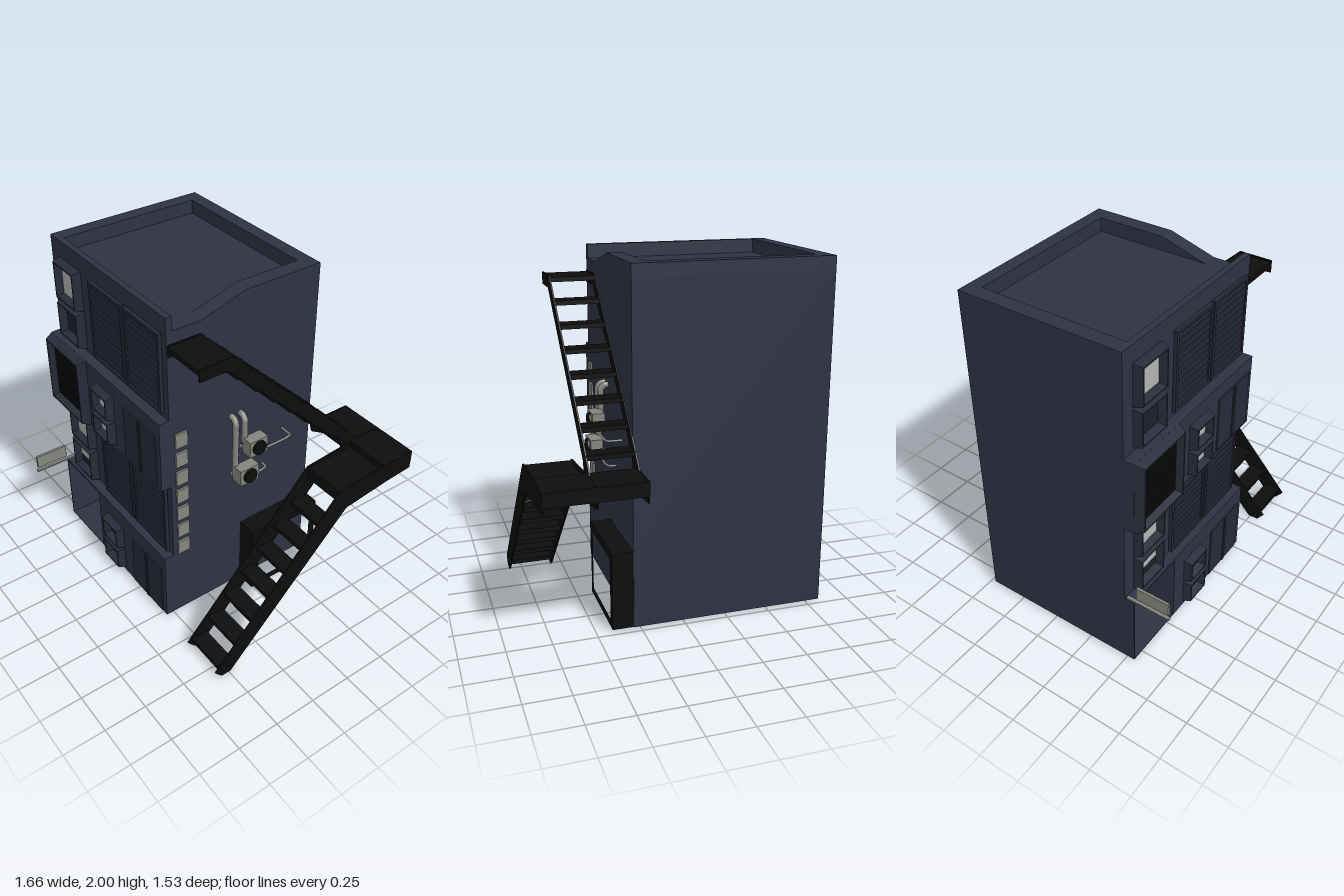
import * as THREE from 'three';

const mat = (color) => new THREE.MeshStandardMaterial({ color });
const wall = mat(0x2e3244), trim = mat(0x272b39), dark = mat(0x1d2029), black = mat(0x0d0d0d);
const pale = mat(0xb4b4b4), metal = mat(0x85857f);

export function createModel() {
  const model = new THREE.Group();

  const add = (name, geometry, material) => {
    const mesh = new THREE.Mesh(geometry, material);
    mesh.name = name;
    model.add(mesh);
    return mesh;
  };

  // Box given by its limits on each axis
  const box = (name, x0, x1, y0, y1, z0, z1, material) => {
    const g = new THREE.BoxGeometry(x1 - x0, y1 - y0, z1 - z0);
    g.translate((x0 + x1) / 2, (y0 + y1) / 2, (z0 + z1) / 2);
    return add(name, g, material);
  };

  // Side profile of [z, y] points, extruded from x0 to x1
  const sidePlate = (name, points, x0, x1, material, hole) => {
    const toVec = ([z, y]) => new THREE.Vector2(-z, y);
    const shape = new THREE.Shape(points.map(toVec));
    if (hole) shape.holes.push(new THREE.Path(hole.map(toVec)));
    const g = new THREE.ExtrudeGeometry(shape, { depth: x1 - x0, bevelEnabled: false });
    g.rotateY(Math.PI / 2).translate(x0, 0, 0);
    return add(name, g, material);
  };

  // Tapered rectangular frame facing +z, lofted through [inset, z] rings
  const frame = (name, x0, x1, y0, y1, rings, material) => {
    const corners = ([i, z]) => [[x0 + i, y0 + i, z], [x1 - i, y0 + i, z], [x1 - i, y1 - i, z], [x0 + i, y1 - i, z]];
    const pos = [];
    for (let r = 0; r < rings.length - 1; r++) {
      const a = corners(rings[r]), b = corners(rings[r + 1]);
      for (let k = 0; k < 4; k++) {
        const n = (k + 1) % 4;
        pos.push(...a[k], ...a[n], ...b[n], ...a[k], ...b[n], ...b[k]);
      }
    }
    const g = new THREE.BufferGeometry();
    g.setAttribute('position', new THREE.Float32BufferAttribute(pos, 3));
    g.computeVertexNormals();
    return add(name, g, material);
  };

  const tube = (name, points, radius, material) => {
    const curve = new THREE.CatmullRomCurve3(points.map((p) => new THREE.Vector3(...p)), false, 'catmullrom', 0.2);
    add(name, new THREE.TubeGeometry(curve, 24, radius, 10), material);
  };

  // Main block, with an open porch at the front corner of the ground floor
  box('upperBlock', -0.83, 0.29, 0.46, 1.92, -0.47, 0.49, wall);
  box('groundBlock', -0.44, 0.29, 0.01, 0.46, -0.47, 0.55, wall);
  box('porchBack', -0.83, -0.44, 0.01, 0.46, -0.47, -0.1, wall);
  box('porchSideWall', -0.83, -0.822, 0.01, 0.46, -0.1, 0.55, wall);
  box('porchFloor', -0.822, -0.44, 0.01, 0.016, -0.1, 0.55, wall);
  box('porchCeiling', -0.83, 0.29, 0.45, 0.465, 0.45, 0.55, wall);
  box('thirdFloorBay', -0.83, 0.29, 0.965, 1.405, 0.49, 0.55, wall);

  // Parapet, sloping down beside the stair exit
  box('parapetLeft', -0.83, -0.745, 1.92, 2, -0.47, 0.49, wall);
  box('parapetBack', -0.745, 0.2, 1.92, 2, -0.47, -0.39, wall);
  box('parapetFront', -0.745, 0.29, 1.92, 2, 0.455, 0.49, wall);
  sidePlate('parapetRight', [[-0.47, 1.92], [0.28, 1.92], [0.01, 2], [-0.47, 2]], 0.2, 0.29, wall);

  // Windows: tapered frame around a pane
  const windowUnit = (x0, x1, y0, y1, z, inset, litFrom) => {
    frame('windowFrame', x0, x1, y0, y1, [[0, z], [0.012, z + 0.05], [inset * 0.6, z + 0.05], [inset, z + 0.006]], trim);
    box('windowPane', x0 + inset, x1 - inset, y0 + inset, y1 - inset, z, z + 0.006, dark);
    if (litFrom !== undefined)
      box('litPane', x0 + inset, x1 - inset, litFrom, y1 - inset, z, z + 0.01, pale);
  };
  windowUnit(-0.75, -0.52, 1.66, 1.9, 0.49, 0.033, 1.693);
  windowUnit(-0.75, -0.52, 1.425, 1.65, 0.49, 0.033);
  windowUnit(-0.75, -0.52, 0.71, 0.95, 0.49, 0.033, 0.743);
  windowUnit(-0.75, -0.52, 0.47, 0.695, 0.49, 0.033, 0.56);
  for (const [y, lit] of [[0.04, false], [1.0, true]])
    for (const k of [0, 1]) {
      const y0 = y + k * 0.165;
      windowUnit(-0.34, -0.16, y0, y0 + 0.155, 0.548, 0.035, lit ? y0 + 0.035 : undefined);
    }

  // Slatted shutters on the second and fourth floors
  for (const y0 of [0.475, 1.43])
    for (const x0 of [-0.415, -0.075]) {
      const x1 = x0 + 0.325, y1 = y0 + 0.47;
      box('shutterPanel', x0, x1, y0, y1, 0.488, 0.495, dark);
      frame('shutterFrame', x0, x1, y0, y1, [[0, 0.49], [0, 0.51], [0.018, 0.51], [0.018, 0.495]], trim);
      for (let i = 0; i < 11; i++) {
        const y = y0 + 0.027 + i * 0.039;
        box('shutterSlat', x0 + 0.02, x1 - 0.02, y, y + 0.026, 0.49, 0.505, trim);
      }
    }

  // Double doors with a central post
  for (const [y0, y1] of [[0.02, 0.365], [0.98, 1.32]]) {
    for (const x0 of [-0.055, 0.11]) box('doorLeaf', x0, x0 + 0.145, y0, y1, 0.54, 0.558, trim);
    box('doorPost', 0.088, 0.112, y0, y1, 0.54, 0.562, dark);
  }

  // Projecting grille on the third floor
  frame('grilleFrame', -0.83, -0.44, 0.965, 1.405, [[0, 0.548], [0.02, 0.602], [0.03, 0.602], [0.05, 0.555]], trim);
  box('grilleBack', -0.78, -0.49, 1.01, 1.36, 0.545, 0.556, black);
  for (let i = 0; i < 15; i++) {
    const y = 1.02 + i * 0.0225;
    box('grilleSlat', -0.78, -0.49, y, y + 0.011, 0.55, 0.57, black);
  }

  // Open frame around the side entrance
  sidePlate('sideEntranceFrame', [[0.015, 0.01], [0.015, 0.46], [-0.465, 0.46], [-0.465, 0.01]], 0.285, 0.41, black,
    [[-0.03, 0.055], [-0.03, 0.415], [-0.42, 0.415], [-0.42, 0.055]]);

  // Fire escape: upper flight
  const upperSide = [[0.485, 1.85], [0.29, 1.85], [-0.45, 1.13], [-0.6, 0.97], [-0.765, 0.97],
    [-0.765, 0.855], [-0.6, 0.84], [-0.5, 0.9], [-0.47, 1.01], [0.32, 1.78], [0.485, 1.78]];
  for (const x of [0.286, 0.546]) sidePlate('upperStringer', upperSide, x, x + 0.009, black);
  box('topPlatform', 0.29, 0.55, 1.815, 1.842, 0.28, 0.485, black);
  for (let i = 0; i < 7; i++) {
    const y = 1.715 - i * 0.113, z = 0.21 - i * 0.115;
    box('upperTread', 0.29, 0.55, y - 0.013, y + 0.013, z - 0.05, z + 0.05, black);
  }

  // Fire escape: landing
  box('rearLanding', 0.285, 0.828, 0.89, 0.968, -0.768, -0.55, black);
  box('sideLanding', 0.56, 0.828, 0.86, 0.935, -0.56, -0.235, black);

  // Fire escape: lower flight
  const lowerSide = [[0.59, 0.05], [-0.23, 0.94], [-0.47, 0.962], [-0.765, 0.97],
    [-0.765, 0.855], [-0.595, 0.84], [-0.29, 0.8], [0.49, 0], [0.55, 0]];
  for (const x of [0.558, 0.82]) sidePlate('lowerStringer', lowerSide, x, x + 0.009, black);
  for (let i = 0; i < 7; i++) {
    const y = 0.055 + i * 0.1135, z = 0.512 - i * 0.113;
    box('lowerTread', 0.56, 0.825, y - 0.013, y + 0.013, z - 0.05, z + 0.05, black);
  }

  // Cooling units with a round fan, and their pipes on the side wall
  for (const [z0, z1, y0] of [[-0.07, 0.05, 1.03], [-0.015, 0.11, 0.86]]) {
    const z = (z0 + z1) / 2;
    box('coolingUnit', 0.335, 0.405, y0, y0 + 0.1, z0, z1, metal);
    const fan = new THREE.CylinderGeometry(0.044, 0.044, 0.02, 20);
    fan.rotateZ(Math.PI / 2).translate(0.408, y0 + 0.05, z);
    add('fan', fan, black);
    for (const s of [z0 + 0.02, z1 - 0.02]) box('unitMount', 0.285, 0.34, y0, y0 + 0.015, s - 0.008, s + 0.008, metal);
  }
  for (const [z, yEnd] of [[0.095, 0.88], [0.035, 1.1]])
    tube('coolantPipe', [[0.28, 1.265, z], [0.31, 1.265, z], [0.333, 1.24, z], [0.333, 1.1 + (yEnd - 0.88) / 2, z], [0.333, yEnd, z]], 0.018, metal);
  tube('upperDrain', [[0.38, 1.03, -0.06], [0.38, 1.03, -0.2], [0.37, 1.03, -0.26], [0.285, 1.03, -0.265]], 0.007, metal);
  tube('lowerDrain', [[0.34, 0.84, 0.04], [0.34, 0.84, -0.08], [0.33, 0.84, -0.125], [0.285, 0.84, -0.13]], 0.007, metal);

  // Blank sign tiles down the side wall and a blank hanging sign at the front corner
  for (let i = 0; i < 7; i++) {
    const y = 1.26 - i * 0.125;
    box('signTile', 0.285, 0.302, y - 0.045, y + 0.045, 0.385, 0.46, metal);
  }
  box('hangingSign', -0.828, -0.812, 0.5, 0.58, 0.56, 0.76, metal);
  box('hangingSignRail', -0.83, -0.81, 0.468, 0.478, 0.5, 0.765, metal);

  return model;
}
